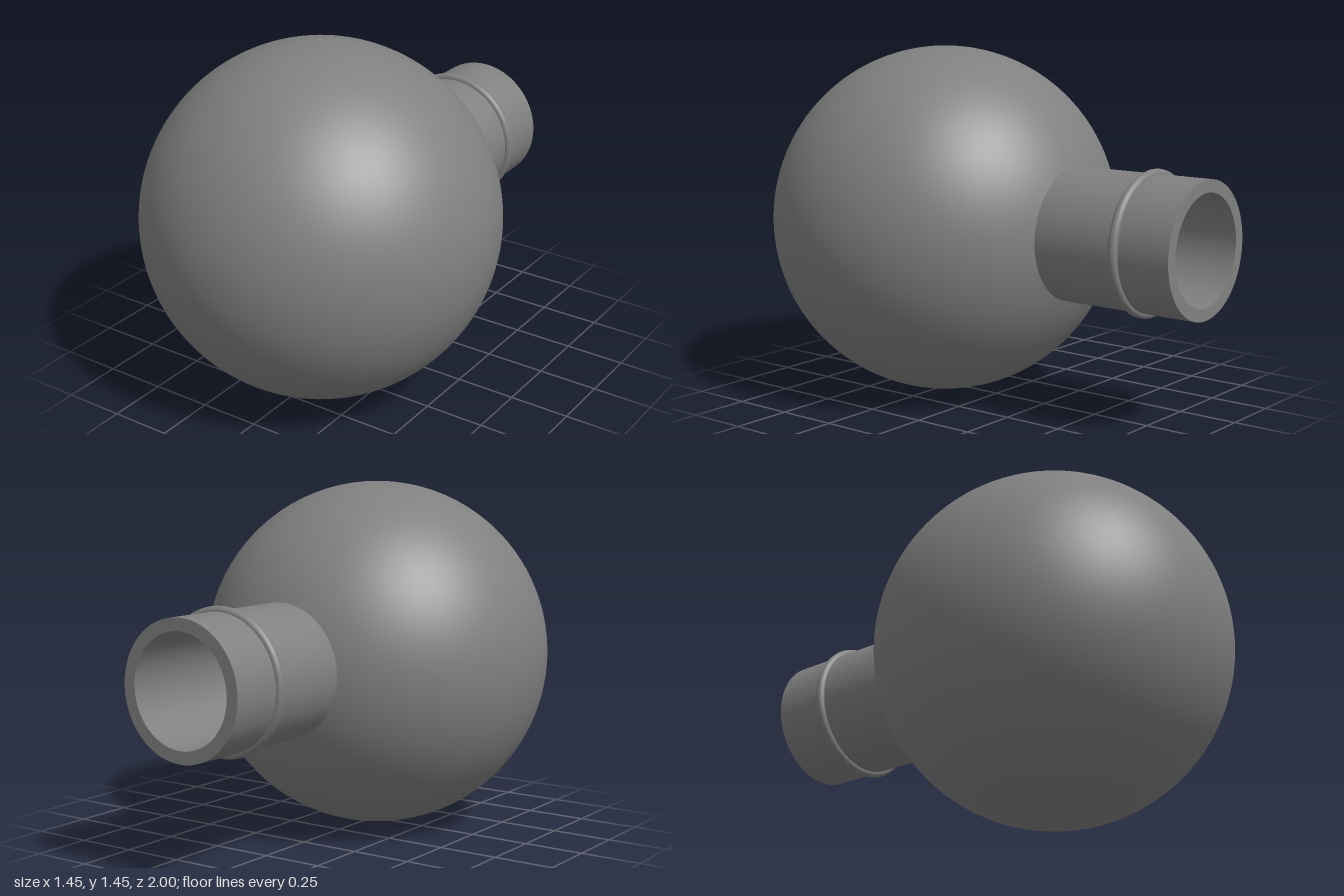
import * as THREE from 'three';

export function createModel() {
  const group = new THREE.Group();
  const grey = new THREE.MeshStandardMaterial({ color: 0x808080 });
  grey.name = 'grey';

  const R = 0.725, wall = 0.05, neckR = 0.27, boreR = 0.22;
  const centreZ = 0.275, lipY = 1.275; // lip distance from the bulb centre

  // Points on a sphere from its pole up to an opening of the given radius
  const bulbProfile = (radius, opening) => {
    const end = Math.PI - Math.asin(opening / radius);
    return Array.from({ length: 61 }, (_, i) => {
      const a = (end * i) / 60;
      return new THREE.Vector2(radius * Math.sin(a), -radius * Math.cos(a));
    });
  };

  // Surface of revolution whose axis points to the back
  const addTurned = (name, points) => {
    const geometry = new THREE.LatheGeometry(points, 96);
    geometry.rotateX(-Math.PI / 2);
    const mesh = new THREE.Mesh(geometry, grey);
    mesh.name = name;
    mesh.position.set(0, R, centreZ);
    group.add(mesh);
  };

  const outer = bulbProfile(R, neckR);
  const inner = bulbProfile(R - wall, boreR).reverse();
  const lipOuter = new THREE.Vector2(neckR, lipY);
  const lipInner = new THREE.Vector2(boreR, lipY);

  // Hollow bulb with an open tubular neck
  addTurned('bulbOuter', outer);
  addTurned('neckOuter', [outer[outer.length - 1], lipOuter]);
  addTurned('neckLip', [lipOuter, lipInner]);
  addTurned('neckBore', [lipInner, inner[0]]);
  addTurned('bulbInner', inner);

  // Raised bead around the neck
  const ring = new THREE.Mesh(new THREE.TorusGeometry(neckR, 0.02, 20, 96), grey);
  ring.name = 'neckRing';
  ring.position.set(0, R, -0.76);
  group.add(ring);

  return group;
}
